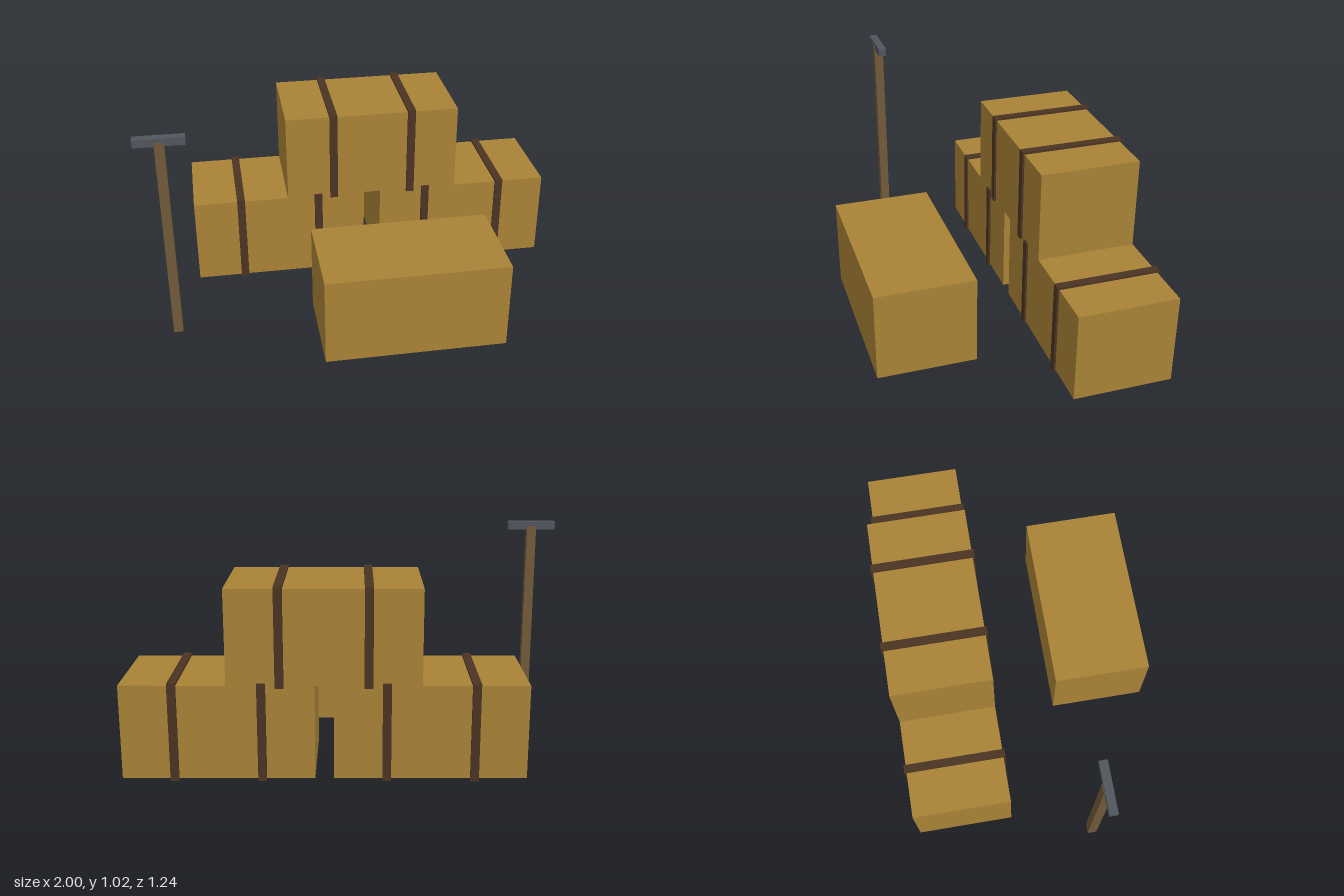
import * as THREE from 'three';

const mat = (name, color) => {
  const m = new THREE.MeshStandardMaterial({ color });
  m.name = name;
  return m;
};

export function createModel() {
  const straw = mat('straw', 0xa88236);
  const twine = mat('darkTwine', 0x4a3423);
  const wood = mat('handleWood', 0x705a39);
  const iron = mat('iron', 0x51565d);
  const model = new THREE.Group();
  model.name = 'hayBalesAndTool';

  const box = (parent, name, material, size, pos) => {
    const mesh = new THREE.Mesh(new THREE.BoxGeometry(...size), material);
    mesh.name = name;
    mesh.position.set(...pos);
    parent.add(mesh);
  };

  // A bale, optionally bound by two straps that wrap all the way round
  const bale = (name, x, y, z, strapped) => {
    const group = new THREE.Group();
    group.name = name;
    group.position.set(x, y, z);
    box(group, 'baleBody', straw, [0.844, 0.424, 0.46], [0, 0, 0]);
    if (strapped) {
      for (const side of [-1, 1]) {
        box(group, 'strap', twine, [0.038, 0.445, 0.48], [side * 0.192, 0, 0]);
      }
    }
    model.add(group);
  };

  // Stack of three bound bales with a loose one in front
  bale('lowerRightBale', -0.348, 0.233, -0.38, true);
  bale('lowerLeftBale', 0.578, 0.233, -0.38, true);
  bale('upperBale', 0.115, 0.657, -0.38, true);
  bale('frontBale', 0.19, 0.233, 0.39, false);

  // Upright tool with a crosspiece head
  const tool = new THREE.Group();
  tool.name = 'standingTool';
  tool.position.set(-0.886, 0, 0.237);
  box(tool, 'handle', wood, [0.044, 1, 0.044], [0, 0.5, 0]);
  box(tool, 'head', iron, [0.228, 0.038, 0.038], [0, 1.002, 0]);
  model.add(tool);

  return model;
}
